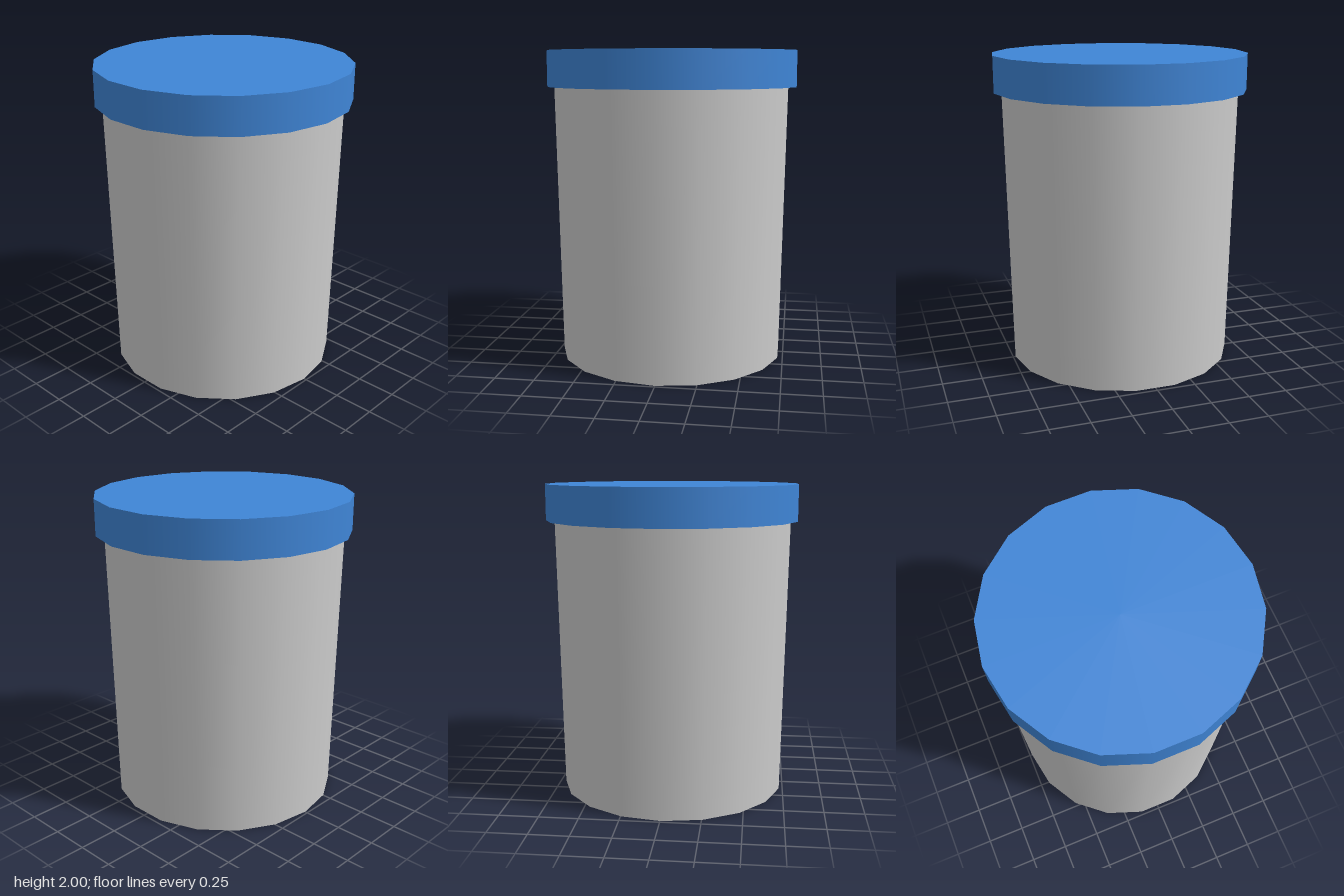
import * as THREE from 'three';

const SIDES = 18;

// Closed, smooth-sided drum with a corner on the x axis
function drum(name, color, rTop, rBottom, y0, y1) {
  const geometry = new THREE.CylinderGeometry(rTop, rBottom, y1 - y0, SIDES, 1, false, Math.PI / 2);
  const mesh = new THREE.Mesh(geometry, new THREE.MeshStandardMaterial({ color }));
  mesh.name = name;
  mesh.position.y = (y0 + y1) / 2;
  return mesh;
}

export function createModel() {
  const group = new THREE.Group();
  group.name = 'liddedContainer';

  // Tapered body, set slightly forward under the lid
  const body = drum('body', 0xcccccc, 0.765, 0.733, 0, 1.77);
  body.position.z = 0.005;

  // Overhanging flat lid
  const lid = drum('lid', 0x3f85d6, 0.815, 0.815, 1.77, 2);

  group.add(body, lid);
  return group;
}
